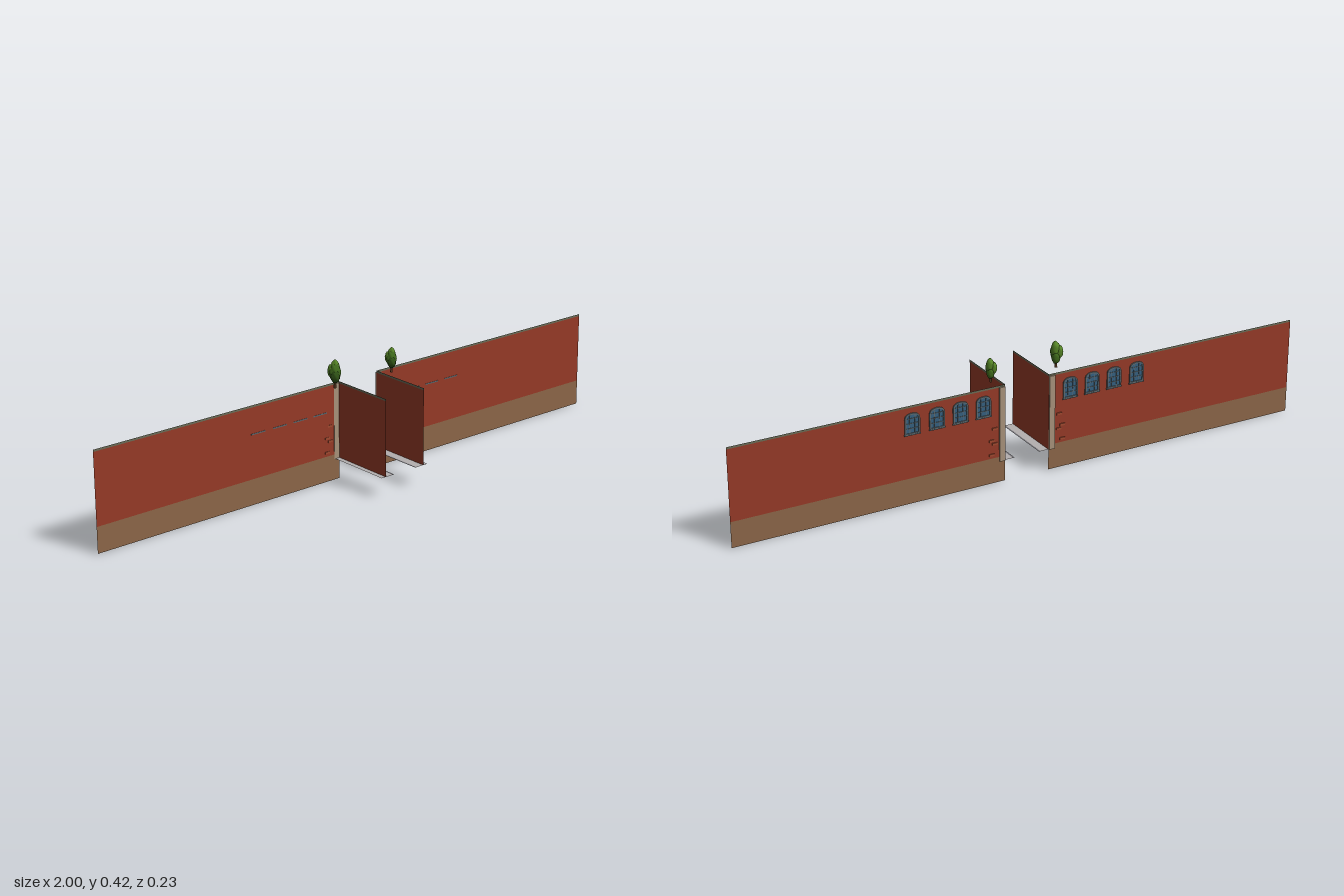
import * as THREE from 'three';

const mat = (color, side = THREE.FrontSide) => new THREE.MeshStandardMaterial({ color, side });
const red = mat(0x953a27, THREE.DoubleSide);
const brown = mat(0x8c6648, THREE.DoubleSide);
const cap = mat(0x6a6a55, THREE.DoubleSide);
const paving = mat(0xb4b0b0, THREE.DoubleSide);
const kerb = mat(0x77757a, THREE.DoubleSide);
const stone = mat(0xa8927a);
const brick = mat(0xa04a30);
const frameMat = mat(0x5d6a70);
const glass = mat(0x35607f, THREE.DoubleSide);
const bark = mat(0x5a3a22);
const leaves = [mat(0x3f6a1c), mat(0x558426), mat(0x2f5216)];

const BACK = -0.11, FRONT = 0.115, TOP = 0.325, FLOOR = 0.07;

function add(parent, name, geometry, material, x = 0, y = 0, z = 0) {
  const mesh = new THREE.Mesh(geometry, material);
  mesh.name = name;
  mesh.position.set(x, y, z);
  parent.add(mesh);
  return mesh;
}

// Flat panel facing z, between two corners
function panel(parent, name, material, x0, x1, y0, y1, z) {
  return add(parent, name, new THREE.PlaneGeometry(x1 - x0, y1 - y0), material, (x0 + x1) / 2, (y0 + y1) / 2, z);
}

// Flat panel facing x, running front to back
function sidePanel(parent, name, material, x, y0, y1) {
  const m = add(parent, name, new THREE.PlaneGeometry(FRONT - BACK, y1 - y0), material, x, (y0 + y1) / 2, (FRONT + BACK) / 2);
  m.rotation.y = Math.PI / 2;
}

// Horizontal strip running front to back
function strip(parent, name, material, x0, x1, y) {
  const m = add(parent, name, new THREE.PlaneGeometry(x1 - x0, FRONT - BACK), material, (x0 + x1) / 2, y, (FRONT + BACK) / 2);
  m.rotation.x = -Math.PI / 2;
}

// Outline with a shallow arched head, standing on y = 0
function archPath(Type, w, h, inset = 0) {
  const a = w / 2 - inset, spring = h * 0.72;
  const p = new Type();
  p.moveTo(-a, inset);
  p.lineTo(a, inset);
  p.lineTo(a, spring);
  p.quadraticCurveTo(a, h - inset, 0, h - inset);
  p.quadraticCurveTo(-a, h - inset, -a, spring);
  p.closePath();
  return p;
}

function archedWindow(x) {
  const g = new THREE.Group();
  g.name = 'archedWindow';
  const w = 0.052, h = 0.07;
  const shape = archPath(THREE.Shape, w, h);
  shape.holes.push(archPath(THREE.Path, w, h, 0.005));
  add(g, 'windowFrame', new THREE.ExtrudeGeometry(shape, { depth: 0.004, bevelEnabled: false, curveSegments: 8 }), frameMat, 0, 0, -0.0045);
  add(g, 'windowGlass', new THREE.ShapeGeometry(archPath(THREE.Shape, w, h, 0.004), 8), glass, 0, 0, -0.0015);
  for (const bx of [-0.009, 0.009])
    add(g, 'glazingBar', new THREE.BoxGeometry(0.002, h - 0.01, 0.002), frameMat, bx, h / 2 - 0.002, -0.0025);
  for (const by of [0.02, 0.036, 0.052])
    add(g, 'glazingRail', new THREE.BoxGeometry(w - 0.008, 0.002, 0.002), frameMat, 0, by, -0.0025);
  add(g, 'windowSill', new THREE.BoxGeometry(w + 0.003, 0.004, 0.006), frameMat, 0, 0, -0.002);
  g.position.set(x, 0.232, BACK);
  return g;
}

// Lumpy leaf mass: a sphere displaced by smooth waves
function leafMass(rx, ry, rz, phase) {
  const geo = new THREE.SphereGeometry(1, 18, 12);
  const p = geo.attributes.position, v = new THREE.Vector3();
  for (let i = 0; i < p.count; i++) {
    v.fromBufferAttribute(p, i);
    const k = 1 + 0.08 * Math.sin(5 * v.x + phase) * Math.cos(4 * v.z + 5 * v.y + phase);
    p.setXYZ(i, v.x * rx * k, v.y * ry * k, v.z * rz * k);
  }
  geo.computeVertexNormals();
  return geo;
}

function tree(x, z, height) {
  const g = new THREE.Group();
  g.name = 'tree';
  add(g, 'trunk', new THREE.CylinderGeometry(0.0028, 0.0045, 0.03, 8), bark, 0, 0.015, 0);
  for (const s of [-1, 1]) {
    const branch = add(g, 'branch', new THREE.CylinderGeometry(0.0015, 0.0025, 0.02, 6), bark, s * 0.003, 0.019, s * 0.004);
    branch.rotation.set(s * 0.5, 0, -s * 0.4);
  }
  // x, y, z, radii
  const lumps = [
    [0, 0.05, 0, 0.018, 0.03, 0.019],
    [0.005, 0.064, -0.004, 0.014, 0.026, 0.015],
    [-0.007, 0.041, 0.009, 0.013, 0.02, 0.016],
    [0.006, 0.038, -0.008, 0.013, 0.021, 0.015],
    [-0.006, 0.055, -0.009, 0.012, 0.022, 0.014],
  ];
  lumps.forEach(([lx, ly, lz, a, b, c], i) =>
    add(g, 'foliage', leafMass(a, b, c, i * 1.7), leaves[i % 3], lx, ly, lz));
  g.scale.setScalar(height / 0.09);
  g.position.set(x, TOP, z);
  return g;
}

// One half of the gateway; s = 1 is the left (+x) half
function half(s) {
  const g = new THREE.Group();
  g.name = s > 0 ? 'leftHalf' : 'rightHalf';
  const span = (a, b) => (s > 0 ? [a, b] : [-b, -a]);

  // Long wall with plinth and coping
  panel(g, 'plinth', brown, ...span(0.078, 1), 0, 0.085, BACK);
  panel(g, 'longWall', red, ...span(0.078, 1), 0.085, 0.319, BACK);
  panel(g, 'longWallCoping', cap, ...span(0.078, 1), 0.319, 0.326, BACK);

  // Passage wall and pavement
  sidePanel(g, 'passageWall', red, s * 0.078, FLOOR, 0.319);
  sidePanel(g, 'passageCoping', cap, s * 0.078, 0.319, 0.326);
  strip(g, 'pavement', paving, ...span(0.05, 0.095), FLOOR);
  strip(g, 'kerb', kerb, ...span(0.044, 0.05), FLOOR);

  // Corner pilaster and projecting bricks
  add(g, 'cornerPilaster', new THREE.BoxGeometry(0.02, 0.25, 0.006), stone, s * 0.089, 0.195, BACK - 0.002);
  [0.185, 0.146, 0.134, 0.098].forEach((y, i) =>
    add(g, 'projectingBrick', new THREE.BoxGeometry(0.018, 0.007, 0.005), brick, s * (0.115 + 0.012 * (i % 2)), y, BACK - 0.001));

  for (const x of [0.155, 0.235, 0.316, 0.4]) g.add(archedWindow(s * x));
  return g;
}

export function createModel() {
  const model = new THREE.Group();
  model.name = 'gatewayWalls';
  model.add(half(1), half(-1));
  model.add(tree(-0.127, -0.07, 0.09), tree(0.106, -0.07, 0.08));
  return model;
}
